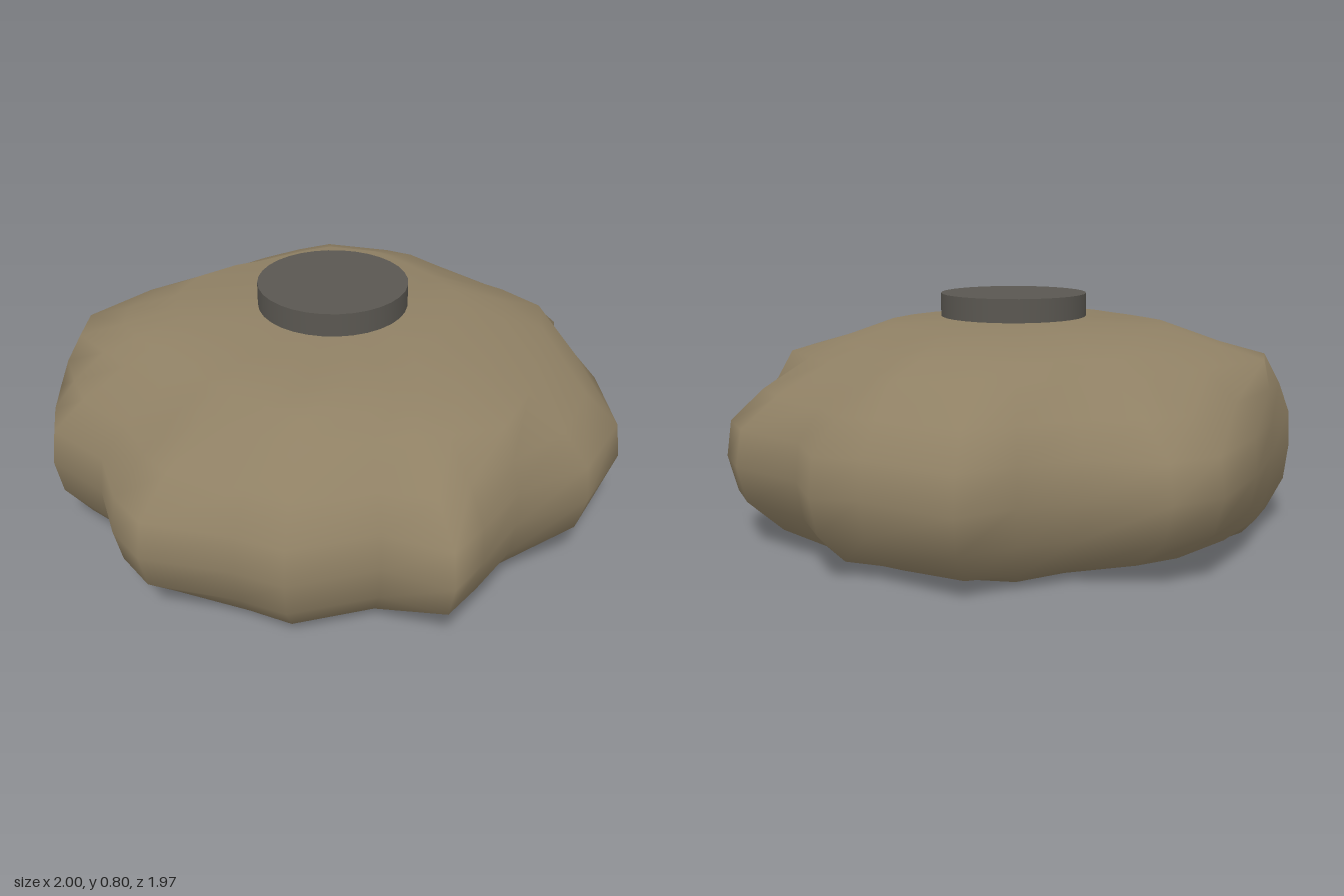
import * as THREE from 'three';

// Columns of the boulder: widest x and z, then radii of the base, the shoulder (y 0.6) and the rim (y 0.7)
const columns = [
  [-1, 0, 0.65, 0.66, 0.46], [-1, 0.18, 0.66, 0.68, 0.49], [-0.84, 0.43, 0.74, 0.76, 0.54],
  [-0.65, 0.65, 0.83, 0.88, 0.56], [-0.56, 0.8, 0.84, 0.88, 0.54], [-0.43, 0.89, 0.82, 0.79, 0.53],
  [-0.3, 0.96, 0.79, 0.72, 0.5], [-0.05, 0.91, 0.7, 0.66, 0.47], [0.16, 0.98, 0.71, 0.67, 0.46],
  [0.32, 0.98, 0.74, 0.69, 0.47], [0.55, 0.79, 0.76, 0.71, 0.5], [0.69, 0.71, 0.79, 0.75, 0.54],
  [0.8, 0.44, 0.73, 0.72, 0.5], [1, 0.33, 0.7, 0.72, 0.44], [0.96, 0.18, 0.7, 0.76, 0.4],
  [0.89, -0.03, 0.71, 0.81, 0.39], [0.94, -0.3, 0.66, 0.75, 0.4], [0.83, -0.58, 0.6, 0.71, 0.41],
  [0.57, -0.76, 0.59, 0.73, 0.43], [0.34, -0.8, 0.64, 0.77, 0.44], [0.17, -0.98, 0.69, 0.71, 0.42],
  [0, -0.99, 0.7, 0.67, 0.42], [-0.26, -0.87, 0.7, 0.68, 0.44], [-0.46, -0.89, 0.72, 0.72, 0.46],
  [-0.55, -0.77, 0.72, 0.73, 0.48], [-0.83, -0.6, 0.73, 0.76, 0.5], [-0.82, -0.4, 0.74, 0.72, 0.48],
  [-0.85, -0.2, 0.68, 0.68, 0.46],
];

// Levels: height and radius rule, from widest radius R, base b, shoulder s and rim t
const { lerp } = THREE.MathUtils;
const levels = [
  [0, (R, b) => b],
  [0.05, (R, b) => lerp(b, R, 0.5)],
  [0.16, (R, b) => lerp(b, R, 0.9)],
  [0.28, R => R],
  [0.4, (R, b, s) => lerp(s, R, 0.94)],
  [0.5, (R, b, s) => lerp(s, R, 0.56)],
  [0.6, (R, b, s) => s],
  [0.64, (R, b, s, t) => lerp(t, s, 0.55)],
  [0.7, (R, b, s, t) => t],
];

function boulderGeometry() {
  const n = columns.length, pos = [], index = [];
  for (const [y, radius] of levels) {
    for (const [x, z, base, shoulder, rim] of columns) {
      const R = Math.hypot(x, z), r = radius(R, base, shoulder, rim);
      pos.push(x / R * r, y, z / R * r);
    }
  }
  const bottom = pos.length / 3, top = bottom + 1, last = (levels.length - 1) * n;
  pos.push(0, 0, 0, 0, 0.71, 0);
  for (let i = 0; i < n; i++) {
    const j = (i + 1) % n;
    for (let l = 0; l < last; l += n) {
      index.push(l + i, l + j, l + n + j, l + i, l + n + j, l + n + i);
    }
    index.push(bottom, j, i, last + i, last + j, top);
  }
  const g = new THREE.BufferGeometry();
  g.setAttribute('position', new THREE.Float32BufferAttribute(pos, 3));
  g.setIndex(index);
  g.computeVertexNormals();
  return g;
}

export function createModel() {
  const group = new THREE.Group();
  group.name = 'boulderWithDisc';
  const stone = new THREE.MeshStandardMaterial({ color: 0x8f8064 });
  stone.name = 'brown stone';
  const slate = new THREE.MeshStandardMaterial({ color: 0x5a5751 });
  slate.name = 'dark grey';

  // Lumpy rock with a flat base
  const boulder = new THREE.Mesh(boulderGeometry(), stone);
  boulder.name = 'boulder';

  // Round disc hovering just above the rock
  const disc = new THREE.Mesh(new THREE.CylinderGeometry(0.256, 0.256, 0.08, 32), slate);
  disc.name = 'topDisc';
  disc.position.set(0.01, 0.758, 0.014);

  group.add(boulder, disc);
  return group;
}
